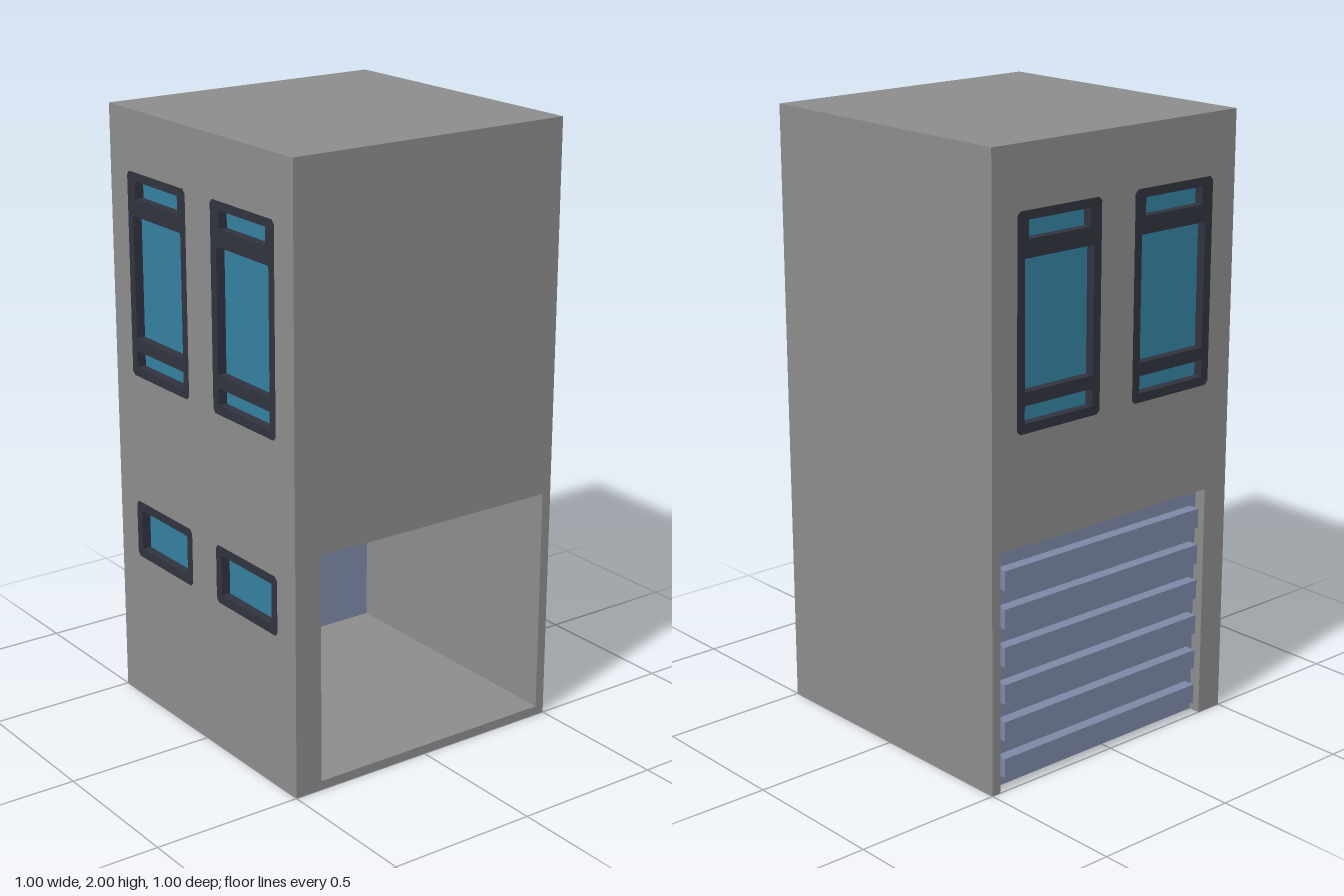
import * as THREE from 'three';

const mat = (name, color, side = THREE.FrontSide) => {
  const m = new THREE.MeshStandardMaterial({ color, side });
  m.name = name;
  return m;
};

export function createModel() {
  const concrete = mat('concrete', 0x8c8c8c, THREE.DoubleSide);
  const doorBlue = mat('doorBlue', 0x7c88a6);
  const frameDark = mat('frameDark', 0x30333f);
  const glassBlue = mat('glassBlue', 0x34809f);

  const model = new THREE.Group();
  model.name = 'garageTower';

  // Garage room limits
  const X0 = -0.406, X1 = 0.468, Y0 = 0.03, Y1 = 0.783;
  const DOOR_IN = -0.433, DOOR_OUT = -0.46;

  const add = (parent, name, geometry, material) => {
    const mesh = new THREE.Mesh(geometry, material);
    mesh.name = name;
    parent.add(mesh);
    return mesh;
  };
  const poly = (pts) => pts.map(([x, y]) => new THREE.Vector2(x, y));
  const rect = (x0, y0, x1, y1) => poly([[x0, y0], [x1, y0], [x1, y1], [x0, y1]]);
  const clipped = (x0, y0, x1, y1, c) => poly([
    [x0 + c, y0], [x1 - c, y0], [x1, y0 + c], [x1, y1 - c],
    [x1 - c, y1], [x0 + c, y1], [x0, y1 - c], [x0, y0 + c]]);
  const shape = (outline, holes = []) => {
    const s = new THREE.Shape(outline);
    s.holes = holes.map((h) => new THREE.Path(h));
    return s;
  };
  const panel = (parent, name, outline, holes) =>
    add(parent, name, new THREE.ShapeGeometry(shape(outline, holes)), concrete);
  const box = (parent, name, material, x0, x1, y0, y1, z0, z1) => {
    const g = new THREE.BoxGeometry(x1 - x0, y1 - y0, z1 - z0);
    g.translate((x0 + x1) / 2, (y0 + y1) / 2, (z0 + z1) / 2);
    return add(parent, name, g, material);
  };

  // Each side is a group whose local z = 0 is the outer wall surface
  const side = (name, angle) => {
    const g = new THREE.Group();
    g.name = name;
    g.rotation.y = angle;
    g.position.set(0.5 * Math.sin(angle), 0, 0.5 * Math.cos(angle));
    model.add(g);
    return g;
  };
  const front = side('frontSide', 0);
  const back = side('backSide', Math.PI);
  const right = side('plainSide', Math.PI / 2);
  const left = side('windowSide', -Math.PI / 2);

  // Windows
  const HALF = 0.167, CX = [-0.235, 0.237];
  const tall = { y0: 1.135, y1: 1.803, panes: [
    [0.03, 1.165, 1.22], [0.03, 1.262, 1.662], [0.045, 1.718, 1.775]] };
  const small = { y0: 0.507, y1: 0.702, panes: [[0.03, 0.537, 0.672]] };
  const outlineOf = (w, cx) => clipped(cx - HALF, w.y0, cx + HALF, w.y1, 0.012);
  const addWindow = (parent, w, cx, depth) => {
    const g = new THREE.Group();
    g.name = 'window';
    parent.add(g);
    const openings = w.panes.map(([inset, a, b]) => rect(cx - HALF + inset, a, cx + HALF - inset, b));
    const geo = new THREE.ExtrudeGeometry(shape(outlineOf(w, cx), openings),
      { depth, bevelEnabled: false });
    geo.translate(0, 0, -depth);
    add(g, 'windowFrame', geo, frameDark);
    for (const [inset, a, b] of w.panes)
      box(g, 'windowGlass', glassBlue, cx - HALF + inset, cx + HALF - inset, a, b, -0.038, -0.03);
  };

  // Outer walls
  panel(front, 'frontWall', rect(-0.5, 0, 0.5, 2), [rect(X0, Y0, X1, Y1)]);
  panel(right, 'plainWall', rect(-0.5, 0, 0.5, 2));
  panel(back, 'backWall', poly([[-0.5, 0], [-X1, 0], [-X1, Y1], [-X0, Y1], [-X0, 0],
    [0.5, 0], [0.5, 2], [-0.5, 2]]), CX.map((cx) => outlineOf(tall, cx)));
  const smallHoles = CX.map((cx) => outlineOf(small, cx));
  panel(left, 'windowWall', rect(-0.5, 0, 0.5, 2),
    [...CX.map((cx) => outlineOf(tall, cx)), ...smallHoles]);
  for (const cx of CX) {
    addWindow(back, tall, cx, 0.067);
    addWindow(left, tall, cx, 0.067);
    addWindow(left, small, cx, 0.5 + X0);
  }

  // Roof and underside, which is notched below the door recess
  const roof = panel(model, 'roof', rect(-0.5, -0.5, 0.5, 0.5));
  roof.rotation.x = -Math.PI / 2;
  roof.position.y = 2;
  const base = panel(model, 'underside', poly([[-0.5, -0.5], [X0, -0.5], [X0, DOOR_OUT],
    [X1, DOOR_OUT], [X1, -0.5], [0.5, -0.5], [0.5, 0.5], [-0.5, 0.5]]));
  base.rotation.x = Math.PI / 2;

  // Room surfaces
  const innerLeft = panel(left, 'roomWindowWall', rect(-0.5, 0, 0.5, Y1), smallHoles);
  innerLeft.position.z = -(0.5 + X0);
  const innerRight = panel(right, 'roomPlainWall', rect(-0.5, 0, 0.5, Y1));
  innerRight.position.z = X1 - 0.5;
  for (const [name, y, z0] of [['roomFloor', Y0, DOOR_IN], ['roomCeiling', Y1, -0.5]]) {
    const p = panel(model, name, rect(X0, z0, X1, 0.5));
    p.rotation.x = Math.PI / 2;
    p.position.y = y;
  }

  // Garage door with horizontal slats
  const door = new THREE.Group();
  door.name = 'garageDoor';
  model.add(door);
  box(door, 'doorPanel', doorBlue, X0, X1, 0.001, Y1 - 0.001, DOOR_OUT, DOOR_IN);
  for (let i = 0; i < 6; i++) {
    const y = 0.075 + i * 0.123;
    box(door, 'doorSlat', doorBlue, X0 + 0.025, X1 - 0.02, y - 0.032, y + 0.032, -0.498, DOOR_OUT);
  }
  return model;
}
